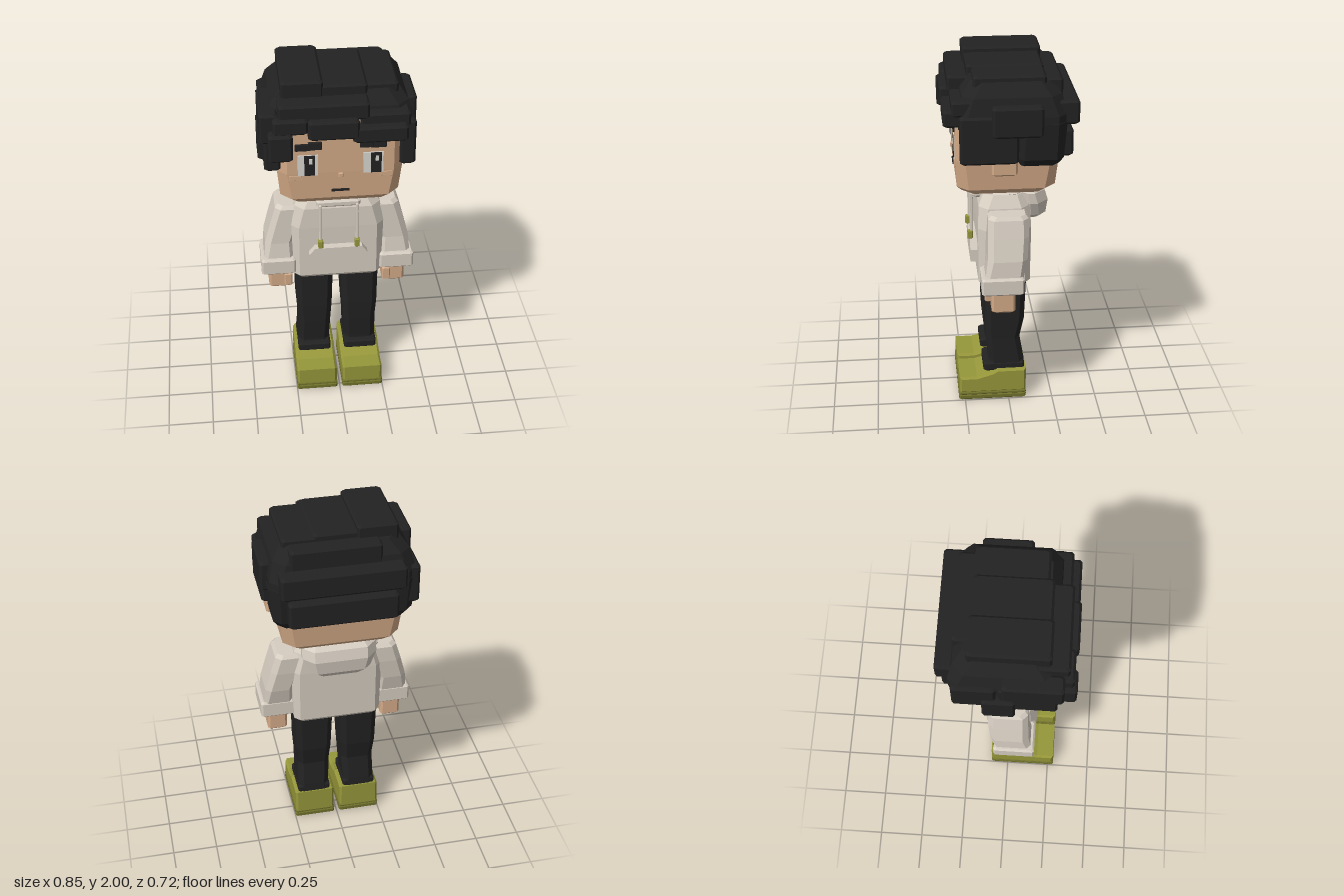
import * as THREE from 'three';

const mat = (name, color) => {
  const m = new THREE.MeshStandardMaterial({ color });
  m.name = name;
  return m;
};

// Faceted solid through chamfered rectangles: [y, x0, x1, z0, z1, chamfer]
function loft(rings) {
  const loops = rings.map(([y, x0, x1, z0, z1, c]) => [
    [x1, y, z1 - c], [x1, y, z0 + c], [x1 - c, y, z0], [x0 + c, y, z0],
    [x0, y, z0 + c], [x0, y, z1 - c], [x0 + c, y, z1], [x1 - c, y, z1]]);
  const p = [];
  const tri = (a, b, c) => p.push(...a, ...b, ...c);
  for (let k = 0; k < loops.length - 1; k++) {
    const lo = loops[k], up = loops[k + 1];
    for (let i = 0; i < 8; i++) {
      const j = (i + 1) % 8;
      tri(lo[i], lo[j], up[j]);
      tri(lo[i], up[j], up[i]);
    }
  }
  const bottom = loops[0], top = loops[loops.length - 1];
  for (let i = 1; i < 7; i++) {
    tri(top[0], top[i], top[i + 1]);
    tri(bottom[0], bottom[i + 1], bottom[i]);
  }
  const g = new THREE.BufferGeometry();
  g.setAttribute('position', new THREE.Float32BufferAttribute(p, 3));
  g.computeVertexNormals();
  return g;
}

// Bevelled block given by its limits
function block(x0, x1, y0, y1, z0, z1, c = 0.01) {
  return loft([
    [y0, x0 + c, x1 - c, z0 + c, z1 - c, c], [y0 + c, x0, x1, z0, z1, c],
    [y1 - c, x0, x1, z0, z1, c], [y1, x0 + c, x1 - c, z0 + c, z1 - c, c]]);
}

// Swap limits for the right-hand side
const span = (s, a, b) => (s > 0 ? [a, b] : [-b, -a]);
const sideRings = (s, rings) => rings.map(([y, a, b, ...rest]) => [y, ...span(s, a, b), ...rest]);

export function createModel() {
  const root = new THREE.Group();
  root.name = 'figure';
  const black = mat('hair and trouser black', 0x222222);
  const skin = mat('skin', 0xd3aa87);
  const cloth = mat('hoodie beige', 0xd6cdc1);
  const olive = mat('shoe olive', 0x96973a);
  const sole = mat('sole dark olive', 0x6f702b);
  const white = mat('eye white', 0xd9d7d0);

  const group = (name) => {
    const g = new THREE.Group();
    g.name = name;
    root.add(g);
    return g;
  };
  const add = (parent, name, geometry, material) => {
    const m = new THREE.Mesh(geometry, material);
    m.name = name;
    parent.add(m);
    return m;
  };

  // Head and face
  const head = group('head');
  add(head, 'skull', loft([
    [1.305, -0.28, 0.28, -0.21, 0.25, 0.06], [1.34, -0.315, 0.315, -0.245, 0.278, 0.06],
    [1.5, -0.33, 0.33, -0.26, 0.285, 0.05], [1.8, -0.33, 0.33, -0.26, 0.285, 0.05]]), skin);
  add(head, 'neck', block(-0.09, 0.09, 1.2, 1.32, -0.07, 0.1), skin);
  add(head, 'nose', block(-0.012, 0.012, 1.473, 1.497, 0.28, 0.298, 0.003), skin);
  add(head, 'mouth', block(-0.048, 0.045, 1.383, 1.397, 0.283, 0.289, 0.001), black);
  for (const s of [1, -1]) {
    add(head, 'ear', block(...span(s, 0.31, 0.372), 1.435, 1.57, -0.035, 0.1), skin);
    add(head, 'cheek', block(...span(s, 0.2, 0.27), 1.462, 1.49, 0.283, 0.288, 0.001), skin);
    add(head, 'eyeWhite', block(...span(s, 0.118, 0.224), 1.488, 1.612, 0.283, 0.289, 0.001), white);
    const x = s > 0 ? 0.185 : -0.162;
    add(head, 'iris', block(x - 0.028, x + 0.028, 1.49, 1.61, 0.287, 0.292, 0.001), black);
    add(head, 'eyeGlint', block(x - 0.004, x + 0.014, 1.56, 1.592, 0.291, 0.294, 0.001), white);
    add(head, 'innerBrow', block(...span(s, 0.098, 0.17), 1.645, 1.69, 0.28, 0.297, 0.003), black);
    add(head, 'outerBrow', block(...span(s, 0.155, 0.238), 1.64, 1.68, 0.28, 0.294, 0.003), black);
  }

  // Hair: two cap volumes with overlapping blocks
  const hair = group('hair');
  add(hair, 'hairCap', loft([
    [1.69, -0.385, 0.385, -0.295, 0.27, 0.05], [1.76, -0.385, 0.385, -0.295, 0.275, 0.05],
    [1.86, -0.355, 0.36, -0.27, 0.25, 0.06], [1.93, -0.3, 0.31, -0.22, 0.2, 0.06]]), black);
  add(hair, 'backHair', loft([
    [1.48, -0.345, 0.345, -0.26, -0.03, 0.04], [1.52, -0.37, 0.37, -0.28, -0.03, 0.04],
    [1.72, -0.39, 0.39, -0.295, -0.03, 0.05]]), black);
  const locks = [
    ['crownRight', -0.3, -0.083, 1.88, 2.0, -0.2, 0.222],
    ['crownMiddle', -0.18, 0.145, 1.86, 1.972, -0.19, 0.215],
    ['crownLeft', 0.1, 0.308, 1.84, 1.96, -0.19, 0.19],
    ['frontMiddle', -0.32, 0.145, 1.82, 1.915, 0, 0.315],
    ['frontLeft', 0.1, 0.358, 1.76, 1.845, 0, 0.305],
    ['fringeRight', -0.35, -0.17, 1.76, 1.845, 0.1, 0.34],
    ['fringeRightTip', -0.375, -0.25, 1.615, 1.768, 0.18, 0.357],
    ['fringeMiddle', -0.172, 0.09, 1.73, 1.838, 0.12, 0.355],
    ['fringeLeft', 0.058, 0.342, 1.7, 1.79, 0.12, 0.349],
    ['upperBack', -0.2, 0.28, 1.75, 1.935, -0.278, -0.1],
    ['middleBack', -0.312, 0.342, 1.7, 1.83, -0.36, -0.2],
    ['lowerBack', -0.28, 0.3, 1.51, 1.66, -0.335, -0.2],
    ['templeLeft', 0.31, 0.396, 1.51, 1.77, -0.04, 0.265],
    ['templeRight', -0.396, -0.31, 1.51, 1.77, -0.04, 0.265],
    ['sideLeft', 0.35, 0.42, 1.66, 1.825, -0.165, 0.1],
    ['sideRight', -0.417, -0.32, 1.69, 1.858, -0.02, 0.292],
    ['sideRightLow', -0.42, -0.32, 1.45, 1.65, -0.122, 0.05],
    ['backCornerRight', -0.402, -0.3, 1.56, 1.78, -0.275, -0.05]];
  for (const [name, ...limits] of locks) add(hair, name, block(...limits, 0.012), black);

  // Hoodie body, hood and collar
  const hoodie = group('hoodie');
  add(hoodie, 'torso', loft([
    [0.73, -0.23, 0.23, -0.105, 0.15, 0.03], [0.75, -0.245, 0.245, -0.12, 0.165, 0.03],
    [1.07, -0.255, 0.255, -0.125, 0.165, 0.04], [1.19, -0.235, 0.235, -0.12, 0.16, 0.05],
    [1.255, -0.2, 0.2, -0.1, 0.13, 0.05]]), cloth);
  add(hoodie, 'hood', loft([
    [1.085, -0.12, 0.12, -0.185, -0.09, 0.025], [1.12, -0.17, 0.17, -0.212, -0.09, 0.04],
    [1.2, -0.205, 0.205, -0.222, -0.06, 0.06], [1.26, -0.205, 0.205, -0.205, -0.05, 0.06],
    [1.288, -0.17, 0.17, -0.17, -0.06, 0.04]]), cloth);
  // Collar ring dips towards the front
  const ring = new THREE.TorusGeometry(0.165, 0.036, 4, 8).toNonIndexed();
  ring.rotateX(Math.PI / 2).rotateY(Math.PI / 8).scale(1.06, 0.8, 0.88);
  const rp = ring.attributes.position;
  for (let i = 0; i < rp.count; i++) rp.setY(i, rp.getY(i) - rp.getZ(i) * 0.1);
  ring.translate(0, 1.255, 0.01);
  ring.computeVertexNormals();
  add(hoodie, 'collar', ring, cloth);
  add(hoodie, 'collarFront', block(-0.12, 0.12, 1.212, 1.256, 0.11, 0.188, 0.012), cloth);

  const pocketShape = new THREE.Shape([
    [-0.163, 0.845], [0.16, 0.845], [0.16, 0.915], [0.13, 0.957], [-0.13, 0.957], [-0.163, 0.915],
  ].map(([x, y]) => new THREE.Vector2(x, y)));
  const pocket = new THREE.ExtrudeGeometry(pocketShape, { depth: 0.045, bevelEnabled: false });
  add(hoodie, 'pocket', pocket.translate(0, 0, 0.16), cloth);

  const arms = group('arms'), legs = group('legs'), shoes = group('shoes');

  // Shoe side profile as (z, y) points
  const shoeShape = new THREE.Shape([
    [-0.088, 0.055], [0.268, 0.055], [0.268, 0.133], [0.18, 0.133], [0.09, 0.16],
    [0.06, 0.178], [-0.088, 0.178],
  ].map(([z, y]) => new THREE.Vector2(z, y)));

  for (const s of [1, -1]) {
    add(hoodie, 'drawstring', block(...span(s, 0.093, 0.108), 1.0, 1.235, 0.185, 0.203, 0.003), cloth);
    add(hoodie, 'drawstringTip', block(...span(s, 0.087, 0.114), 0.963, 1.012, 0.187, 0.217, 0.004), olive);

    // Sleeve, cuff and hand
    add(arms, 'sleeve', loft(sideRings(s, [
      [0.84, 0.245, 0.41, -0.065, 0.14, 0.02], [0.95, 0.24, 0.4, -0.09, 0.125, 0.03],
      [1.07, 0.2, 0.368, -0.1, 0.12, 0.03], [1.165, 0.18, 0.34, -0.1, 0.117, 0.03],
      [1.183, 0.18, 0.325, -0.085, 0.1, 0.03]])), cloth);
    add(arms, 'cuff', block(...span(s, 0.235, 0.427), 0.76, 0.86, -0.07, 0.16), cloth);
    add(arms, 'hand', block(...span(s, 0.275, 0.385), 0.632, 0.79, -0.025, 0.105, 0.012), skin);
    add(arms, 'thumb', block(...span(s, 0.255, 0.3), 0.663, 0.745, 0.05, 0.137, 0.006), skin);

    // Trouser leg with turned hem
    add(legs, 'trouserLeg', loft(sideRings(s, [
      [0.17, 0.045, 0.225, -0.095, 0.11, 0.025], [0.24, 0.045, 0.225, -0.09, 0.11, 0.03],
      [0.38, 0.038, 0.222, -0.066, 0.125, 0.03], [0.5, 0.03, 0.23, -0.09, 0.13, 0.03],
      [0.745, 0.022, 0.235, -0.1, 0.12, 0.03]])), black);
    add(legs, 'hem', block(...span(s, 0.04, 0.228), 0.172, 0.228, -0.09, 0.142), black);

    // Shoe upper over a two-layer sole
    const upper = new THREE.ExtrudeGeometry(shoeShape, {
      depth: 0.205, bevelThickness: 0.012, bevelSize: 0.012, bevelSegments: 1 });
    upper.rotateY(-Math.PI / 2).translate(0.1025 + s * 0.132, 0, 0);
    add(shoes, 'shoeUpper', upper, olive);
    add(shoes, 'soleWelt', block(...span(s, 0.015, 0.249), 0.03, 0.05, -0.1, 0.284, 0.006), sole);
    add(shoes, 'sole', block(...span(s, 0.015, 0.249), 0, 0.034, -0.1, 0.285, 0.008), sole);
  }
  return root;
}
